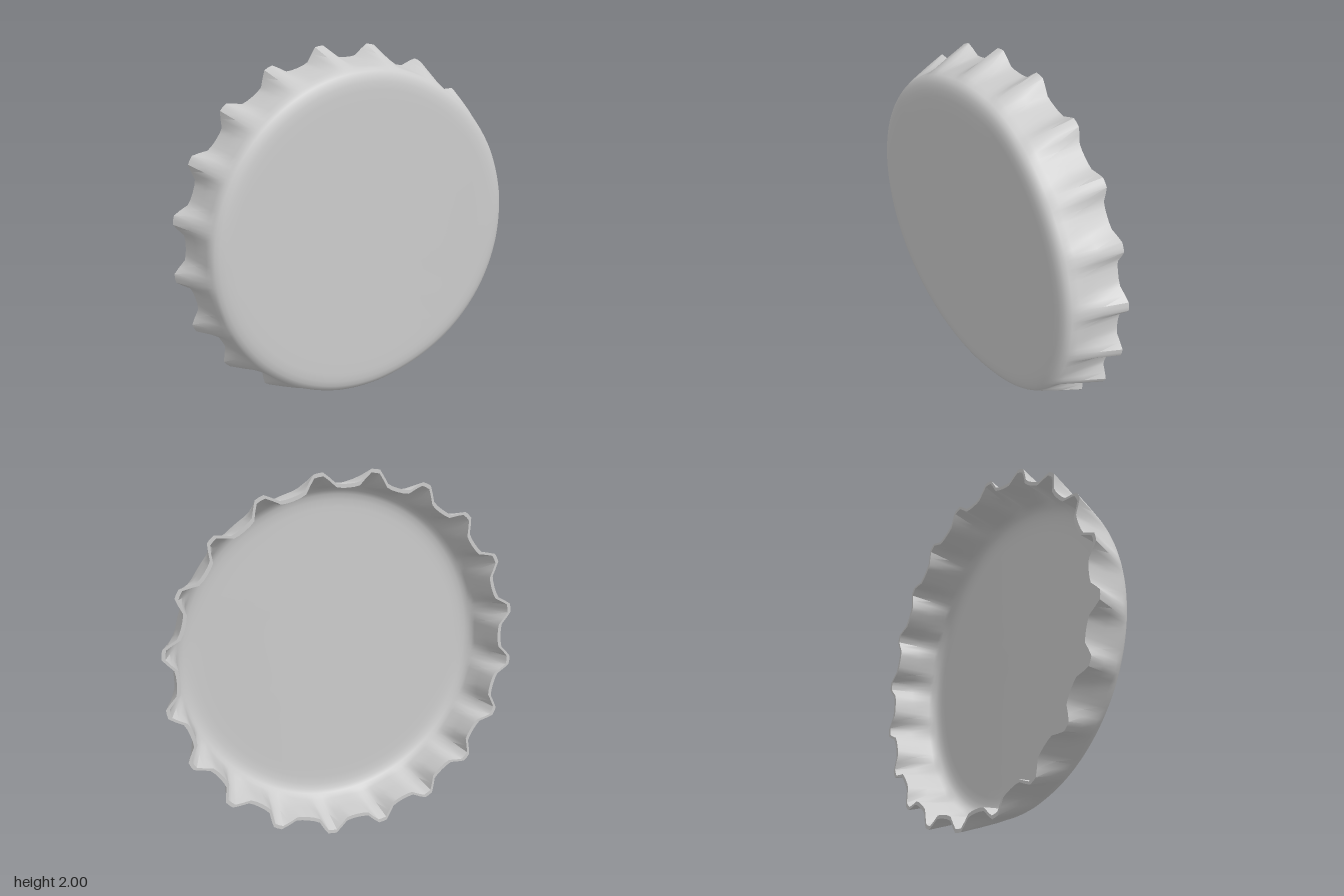
import * as THREE from 'three';
import { toCreasedNormals } from 'three/addons/utils/BufferGeometryUtils.js';

const TEETH = 20;
const PHASE = 7; // degrees to the first tooth

// One flute: [degrees from its crest, how far it stands out (0..1)]
const FLUTE = [
  [-9, 0], [-6.8, 0.03], [-4.9, 0.13], [-3, 0.6], [-1.4, 0.98],
  [0, 1], [1.4, 0.98], [3, 0.6], [4.9, 0.13], [6.8, 0.03],
];

// Wall section from the centre of the face to the rim: [radius, z]
const OUTER = [
  [0, 0.12], [0.15, 0.12], [0.3, 0.12], [0.45, 0.12], [0.6, 0.12], [0.72, 0.12], [0.8, 0.12],
  [0.84, 0.118], [0.87, 0.111], [0.892, 0.1], [0.906, 0.082], [0.913, 0.045], [0.922, -0.06], [0.929, -0.175],
];
const THICKNESS = 0.02;

// Flutes grow from nothing at the shoulder to full depth at the rim
const fluteDepth = (z) => 0.076 * Math.max(0, (0.085 - z) / 0.26);

// Gentle crease that bends the +x side of the cap forward
function bend(x, y, z) {
  const start = 0.1, end = 0.4, slope = 0.093;
  const t = THREE.MathUtils.clamp((x - start) / (end - start), 0, 1);
  const lift = slope * (0.5 * t * t * (end - start) + Math.max(0, x - end));
  return [x - slope * t * z - 0.006, y, z + lift];
}

function capGeometry() {
  // Outer skin, then the inner skin back to the centre
  const rings = OUTER.map(([r, z]) => ({ r, z, depth: fluteDepth(z) }));
  for (const [r, z] of [...OUTER].reverse()) {
    const onFace = z > 0.08;
    rings.push({
      r: r === 0 ? 0 : r < 0.75 ? r : r - THICKNESS,
      z: onFace ? z - THICKNESS : z,
      depth: fluteDepth(z),
    });
  }

  const angles = [];
  for (let i = 0; i < TEETH; i++) {
    for (const [offset, w] of FLUTE) {
      angles.push([THREE.MathUtils.degToRad(PHASE + (i * 360) / TEETH + offset), w]);
    }
  }

  const n = angles.length;
  const positions = [];
  for (const { r, z, depth } of rings) {
    for (const [a, w] of angles) {
      const radius = r + depth * w;
      positions.push(...bend(radius * Math.cos(a), radius * Math.sin(a), z));
    }
  }

  const index = [];
  for (let i = 0; i < rings.length - 1; i++) {
    for (let j = 0; j < n; j++) {
      const k = (j + 1) % n;
      const a = i * n + j, b = a + n, c = (i + 1) * n + k, d = i * n + k;
      if (rings[i + 1].r > 0) index.push(a, b, c);
      if (rings[i].r > 0) index.push(a, c, d);
    }
  }

  const geometry = new THREE.BufferGeometry();
  geometry.setAttribute('position', new THREE.Float32BufferAttribute(positions, 3));
  geometry.setIndex(index);
  return toCreasedNormals(geometry, THREE.MathUtils.degToRad(42));
}

export function createModel() {
  const group = new THREE.Group();
  group.name = 'bottleCap';

  // Bent crown cap with fluted skirt
  const cap = new THREE.Mesh(capGeometry(), new THREE.MeshStandardMaterial({ color: 0xcccccc }));
  cap.name = 'flutedCap';
  cap.position.y = 1;
  group.add(cap);

  return group;
}
